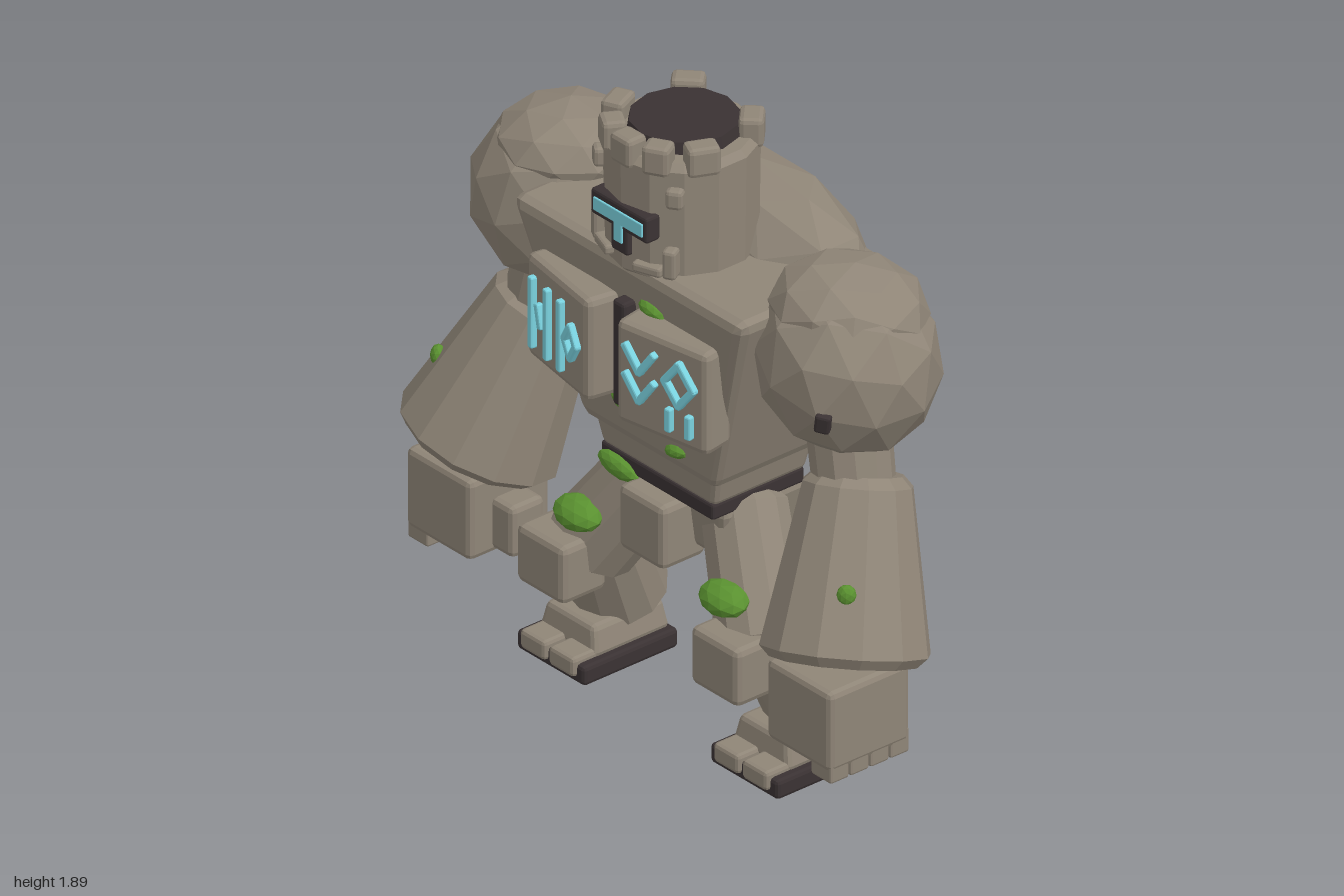
import * as THREE from 'three';
import { RoundedBoxGeometry } from 'three/addons/geometries/RoundedBoxGeometry.js';

const mat = (name, color) => Object.assign(new THREE.MeshStandardMaterial({ color }), { name });

export function createModel() {
  const stone = mat('stone', 0x8f8577);
  const dark = mat('dark stone', 0x3a3233);
  const glow = mat('glowing blue', 0x7ad2df);
  const moss = mat('moss green', 0x5a9130);
  const model = new THREE.Group();
  model.name = 'stoneGiant';

  // Faceted mesh helper
  const add = (name, geo, m, pos = [0, 0, 0], rot = [0, 0, 0], parent = model) => {
    const g = geo.index ? geo.toNonIndexed() : geo;
    g.computeVertexNormals();
    const mesh = new THREE.Mesh(g, m);
    mesh.name = name;
    mesh.position.set(...pos);
    mesh.rotation.set(...rot);
    parent.add(mesh);
    return mesh;
  };
  // Chamfered block
  const block = (w, h, d, bevel = 0.015) =>
    new RoundedBoxGeometry(w, h, d, 1, Math.min(bevel, w / 3, h / 3, d / 3));
  // Chamfered block whose bottom is scaled by kx and kz
  const taper = (w, h, d, kx, kz, bevel = 0.02) => {
    const g = block(w, h, d, bevel), p = g.attributes.position;
    for (let i = 0; i < p.count; i++) {
      const t = 0.5 - p.getY(i) / h;
      p.setX(i, p.getX(i) * (1 + (kx - 1) * t));
      p.setZ(i, p.getZ(i) * (1 + (kz - 1) * t));
    }
    return g;
  };
  // Chamfered tapered column between two points
  const limb = (name, a, b, ra, rb, bevel = 0.025, sides = 12) => {
    const A = new THREE.Vector3(...a), dir = new THREE.Vector3(...b).sub(A), L = dir.length();
    const profile = [[0, 0], [ra - bevel, 0], [ra, bevel], [rb, L - bevel], [rb - bevel, L], [0, L]];
    const geo = new THREE.LatheGeometry(profile.map(q => new THREE.Vector2(...q)), sides);
    const mesh = add(name, geo, stone, a);
    mesh.quaternion.setFromUnitVectors(new THREE.Vector3(0, 1, 0), dir.normalize());
  };
  // Faceted boulder
  const rock = (name, pos, size, rot = [0, 0, 0], m = stone) => {
    const mesh = add(name, new THREE.IcosahedronGeometry(1, 1), m, pos, rot);
    mesh.scale.set(...size);
  };

  // Trunk
  add('torso', taper(0.98, 0.64, 0.57, 0.56, 0.7, 0.035), stone, [0, 1.175, 0]);
  add('waist', taper(0.52, 0.11, 0.36, 0.9, 0.92), stone, [0, 0.825, 0]);
  add('belt', block(0.47, 0.05, 0.33, 0.008), dark, [0, 0.757, 0.005]);
  add('pelvis', taper(0.48, 0.17, 0.32, 0.85, 0.85), stone, [0, 0.655, -0.025]);
  add('frontLoinBlock', block(0.19, 0.2, 0.16, 0.02), stone, [0, 0.63, 0.15]);
  rock('backHump', [0, 1.42, -0.17], [0.46, 0.238, 0.215]);

  // Back plate and gem
  add('backPlate', block(0.27, 0.27, 0.12, 0.02), stone, [-0.02, 0.955, -0.215], [0.04, 0, 0]);
  const gem = new THREE.Group();
  gem.name = 'backGem';
  gem.position.set(-0.035, 1.15, -0.28);
  gem.rotation.z = 0.42;
  model.add(gem);
  add('gemFrame', block(0.2, 0.19, 0.11, 0.02), dark, [0, 0, 0], [0, 0, 0], gem);
  add('gemStone', block(0.13, 0.14, 0.02, 0.006), glow, [0, 0, -0.055], [0, 0, 0], gem);

  // Chest plates with abstract glowing inlays
  add('chestGroove', block(0.05, 0.33, 0.08, 0.01), dark, [0, 1.21, 0.27]);
  const diamond = (x, y, w, h) => [[x, y + h], [x + w, y], [x, y - h], [x - w, y], [x, y + h]];
  const inlays = {
    '-1': [[[-0.115, 0.1], [-0.115, -0.11]], [[-0.035, 0.1], [-0.035, -0.11]], [[-0.083, 0.03], [-0.067, -0.03]],
      [[0.035, 0.1], [0.035, -0.11]], diamond(0.09, 0, 0.03, 0.05)],
    '1': [[[-0.12, 0.1], [-0.07, 0.03], [-0.02, 0.1]], [[-0.12, 0.01], [-0.07, -0.06], [-0.02, 0.01]],
      diamond(0.07, 0.04, 0.05, 0.065), [[0.035, -0.05], [0.035, -0.11]], [[0.105, -0.05], [0.105, -0.11]]],
  };
  for (const s of [-1, 1]) {
    const plate = new THREE.Group();
    plate.name = 'chestPlate';
    plate.position.set(s * 0.21, 1.21, 0.288);
    plate.rotation.y = s * 0.17;
    model.add(plate);
    add('chestSlab', block(0.325, 0.32, 0.11, 0.02), stone, [0, 0, 0], [0, 0, 0], plate);
    for (const line of inlays[s]) for (let i = 1; i < line.length; i++) {
      const [[x0, y0], [x1, y1]] = [line[i - 1], line[i]];
      add('glowInlay', block(0.022, Math.hypot(x1 - x0, y1 - y0) + 0.014, 0.028, 0.005), glow,
        [(x0 + x1) / 2, (y0 + y1) / 2, 0.06], [0, 0, Math.atan2(x0 - x1, y1 - y0)], plate);
    }
  }

  // Head, a drum with a ring of blocks
  const hz = 0.08;
  limb('head', [0, 1.46, hz], [0, 1.84, hz], 0.215, 0.22, 0.02, 14);
  add('headTop', new THREE.CylinderGeometry(0.155, 0.165, 0.05, 12), dark, [0, 1.85, hz - 0.01]);
  for (const [deg, w] of [[0, 0.085], [30, 0.08], [-30, 0.08], [66, 0.095], [-66, 0.095], [136, 0.095], [-136, 0.095]]) {
    const a = THREE.MathUtils.degToRad(deg);
    add('crownBlock', block(w, 0.09, 0.07, 0.014), stone,
      [Math.sin(a) * 0.192, 1.85, hz + Math.cos(a) * 0.192], [0, a, 0]);
  }
  // Visor
  add('visorSlot', block(0.235, 0.08, 0.05, 0.008), dark, [0, 1.645, 0.282]);
  add('visorStem', block(0.07, 0.09, 0.04, 0.008), dark, [0, 1.575, 0.286]);
  add('visorGlow', block(0.205, 0.042, 0.012, 0.003), glow, [0, 1.643, 0.306]);
  add('visorGlowStem', block(0.034, 0.07, 0.012, 0.003), glow, [0, 1.6, 0.306]);
  for (const s of [-1, 1]) {
    add('templeKnob', block(0.05, 0.06, 0.05, 0.012), stone, [s * 0.155, 1.745, 0.235], [0, s * 0.6, 0]);
    add('jawBlock', block(0.04, 0.09, 0.06, 0.01), stone, [s * 0.145, 1.54, 0.24], [0, s * 0.5, 0]);
    add('chinBlock', block(0.09, 0.03, 0.04, 0.008), stone, [s * 0.09, 1.51, 0.275], [0, s * 0.35, 0]);
  }

  for (const s of [-1, 1]) {
    // Arm
    rock('shoulder', [s * 0.605, 1.345, 0], [0.26, 0.28, 0.255], [0.25, s * 0.5, s * 0.2]);
    rock('shoulderCap', [s * 0.585, 1.495, -0.02], [0.225, 0.14, 0.22], [0, s * 0.9, s * -0.12]);
    limb('upperArm', [s * 0.595, 1.22, 0], [s * 0.66, 0.93, 0.02], 0.12, 0.115);
    limb('forearm', [s * 0.773, 0.53, 0.16], [s * 0.645, 1.005, -0.003], 0.24, 0.155, 0.03);
    // Hand
    add('palm', block(0.27, 0.25, 0.29, 0.018), stone, [s * 0.755, 0.4, 0.165]);
    add('thumb', block(0.1, 0.16, 0.12, 0.018), stone, [s * 0.585, 0.37, 0.17]);
    for (let i = 0; i < 4; i++)
      add('finger', block(0.085, 0.08, 0.066, 0.007), stone, [s * 0.845, 0.28, 0.056 + i * 0.072]);
    // Leg
    limb('thigh', [s * 0.15, 0.71, -0.01], [s * 0.37, 0.37, 0.1], 0.125, 0.135);
    limb('shin', [s * 0.415, 0.14, -0.055], [s * 0.355, 0.47, 0.09], 0.14, 0.12);
    add('kneeBlock', block(0.2, 0.18, 0.16, 0.02), stone, [s * 0.365, 0.37, 0.2]);
    // Foot
    add('sole', block(0.285, 0.06, 0.34, 0.012), dark, [s * 0.405, 0.03, 0.035]);
    add('foot', taper(0.2, 0.09, 0.25, 1.2, 1.1, 0.015), stone, [s * 0.405, 0.1, 0.01]);
    for (const t of [-1, 1])
      add('toe', block(0.105, 0.06, 0.1, 0.012), stone, [s * 0.405 + t * 0.06, 0.05, 0.17]);
    // Moss on knee and forearm
    rock('kneeMoss', [s * 0.305, 0.53, 0.19], [0.085, 0.044, 0.06], [0.3, 0, 0], moss);
    rock('armMoss', [s * 0.856, 0.795, 0.222], [0.028, 0.032, 0.022], [0, s * 0.8, 0], moss);
  }
  add('shoulderChip', block(0.045, 0.06, 0.05, 0.008), dark, [0.73, 1.28, 0.195], [0.2, 0.6, -0.25]);

  // Moss on the trunk
  for (const [x, y, z, w, h, tilt] of [
    [0.095, 1.375, 0.262, 0.055, 0.025, -0.1], [-0.055, 0.985, 0.212, 0.083, 0.028, -0.15],
    [0.125, 0.92, 0.2, 0.047, 0.022, 0.25], [-0.16, 0.735, 0.17, 0.082, 0.034, -0.1]])
    rock('trunkMoss', [x, y, z], [w, h, 0.03], [0, 0, tilt], moss);

  return model;
}
